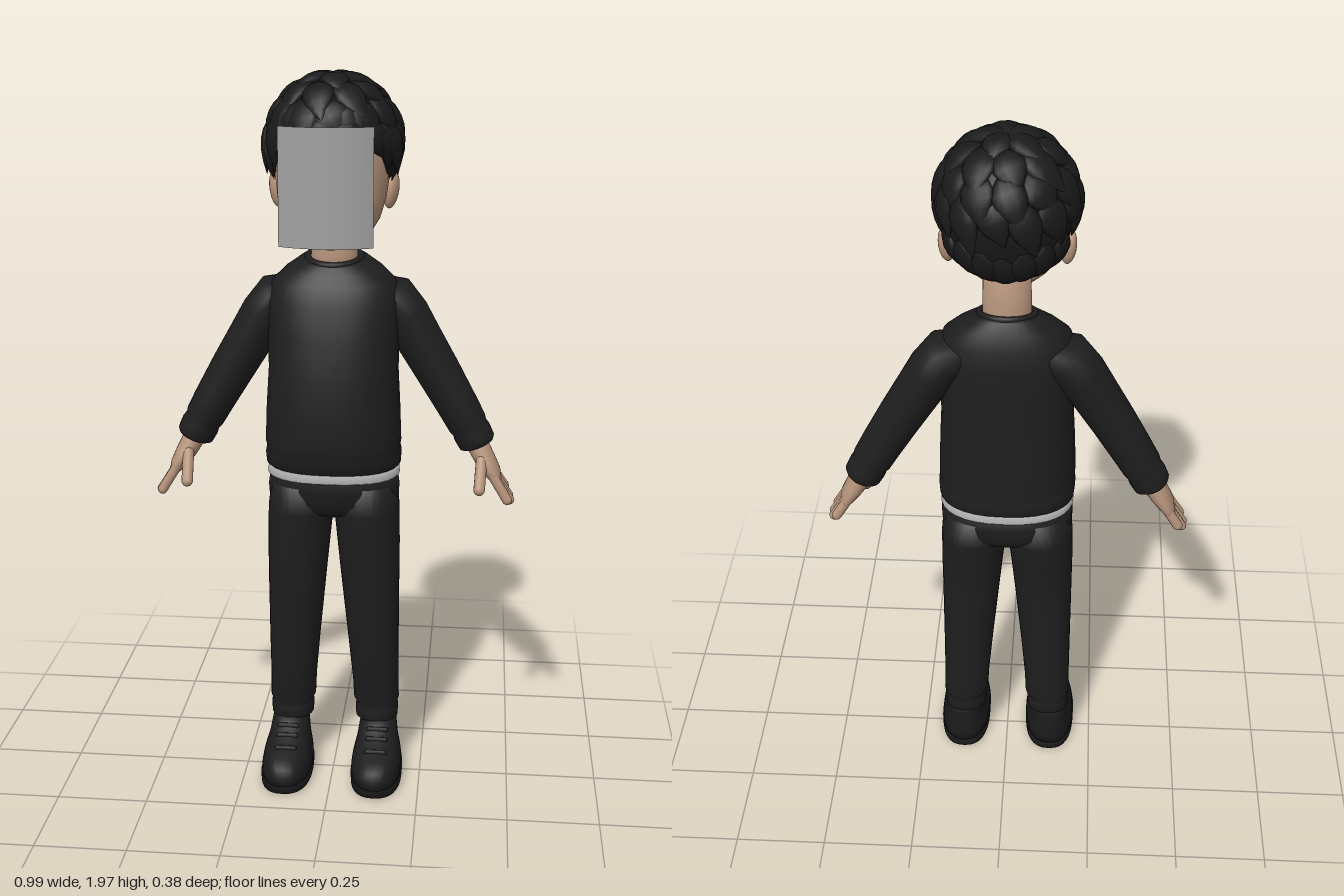
import * as THREE from 'three';

const mat = (name, color, side = THREE.FrontSide) => {
  const m = new THREE.MeshStandardMaterial({ color, side });
  m.name = name;
  return m;
};
const V = (x, y, z) => new THREE.Vector3(x, y, z);

// Closed smooth skin through a list of equally sized rings of points
function loft(rings) {
  const n = rings[0].length, pos = [];
  let idx = [];
  rings.forEach(r => r.forEach(p => pos.push(p.x, p.y, p.z)));
  for (let i = 0; i < rings.length - 1; i++) {
    for (let j = 0; j < n; j++) {
      const a = i * n + j, b = i * n + (j + 1) % n;
      idx.push(a, b, a + n, b, b + n, a + n);
    }
  }
  [0, rings.length - 1].forEach((i, end) => {
    const c = rings[i].reduce((s, p) => s.add(p), V(0, 0, 0)).divideScalar(n);
    const k = pos.length / 3;
    pos.push(c.x, c.y, c.z);
    for (let j = 0; j < n; j++) {
      const a = i * n + j, b = i * n + (j + 1) % n;
      if (end) idx.push(a, b, k); else idx.push(b, a, k);
    }
  });
  // turn the faces outward if the enclosed volume comes out negative
  const P = i => V(pos[3 * i], pos[3 * i + 1], pos[3 * i + 2]);
  let vol = 0;
  for (let t = 0; t < idx.length; t += 3) vol += P(idx[t]).dot(P(idx[t + 1]).cross(P(idx[t + 2])));
  if (vol < 0) idx = idx.reverse();
  const g = new THREE.BufferGeometry();
  g.setAttribute('position', new THREE.Float32BufferAttribute(pos, 3));
  g.setIndex(idx);
  g.computeVertexNormals();
  return g;
}

// Level rounded ring between x0..x1 and zb..zf
function ring(y, x0, x1, zf, zb, e = 2, tilt = 0, n = 32) {
  const f = v => Math.sign(v) * Math.abs(v) ** (2 / e);
  return Array.from({ length: n }, (_, j) => {
    const a = j / n * Math.PI * 2;
    const z = (zf + zb) / 2 + f(Math.sin(a)) * (zf - zb) / 2;
    return V((x0 + x1) / 2 + f(Math.cos(a)) * (x1 - x0) / 2, y + tilt * z, z);
  });
}
// rows: [y, half width, front z, back z, tilt]
const column = (rows, e) => loft(rows.map(([y, w, f, b, t = 0]) => ring(y, -w, w, f, b, e, t)));
// rows: [y, inner x, outer x, front z, back z]
const sideColumn = (rows, s, e) => loft(rows.map(([y, i, o, f, b]) => ring(y, s * i, s * o, f, b, e)));

// Limb whose path lies near the xy plane; rows: [x, y, z, in-plane radius, z radius]
function limb(rows, s, n = 20) {
  return loft(rows.map(([x, y, z, r, rz], i) => {
    const a = rows[Math.max(i - 1, 0)], b = rows[Math.min(i + 1, rows.length - 1)];
    const d = V(b[0] - a[0], b[1] - a[1], 0).normalize();
    return Array.from({ length: n }, (_, j) => {
      const t = j / n * Math.PI * 2, c = Math.cos(t) * r;
      return V(s * (x - d.y * c), y + d.x * c, z + Math.sin(t) * rz);
    });
  }));
}

// Hair volume: polar angle p from the top, azimuth a from the front
const hairPoint = (p, a, k = 1) => V(
  Math.sin(p) * Math.sin(a) * 0.167 * k,
  1.79 + Math.cos(p) * (p < Math.PI / 2 ? 0.17 : 0.2) * k,
  -0.005 + Math.sin(p) * Math.cos(a) * 0.168 * k);
const rad = THREE.MathUtils.degToRad;
const hairline = [[0, 83], [48, 86], [66, 112], [78, 115], [95, 104], [120, 138], [180, 150]];
function hairEdge(a) {
  let d = Math.abs(THREE.MathUtils.radToDeg(Math.atan2(Math.sin(a), Math.cos(a))));
  const i = Math.max(1, hairline.findIndex(h => h[0] >= d - 1e-6));
  const [a0, p0] = hairline[i - 1], [a1, p1] = hairline[i];
  return rad(p0 + (p1 - p0) * (d - a0) / (a1 - a0));
}
function lock(a, p0, p1, w, sweep, lift) {
  const prof = [0.3, 0.75, 1, 1, 0.8, 0.45, 0.04];
  const at = t => hairPoint(p0 + (p1 - p0) * t, a + sweep * t, 1 + lift * t * t);
  return loft(prof.map((f, i) => {
    const t = i / 6, c = at(t), out = c.clone().sub(V(0, 1.79, 0)).normalize();
    const along = at(t + 0.05).sub(at(t - 0.05)).normalize();
    const side = along.cross(out).normalize();
    return Array.from({ length: 10 }, (_, j) => {
      const q = j / 10 * Math.PI * 2;
      return c.clone().addScaledVector(side, Math.cos(q) * w * f).addScaledVector(out, Math.sin(q) * 0.016 * f);
    });
  }));
}

export function createModel() {
  const root = new THREE.Group();
  const cloth = mat('black cloth', 0x1e1e1f), hairMat = mat('black hair', 0x1a1a1b);
  const shoeMat = mat('shoe black', 0x1c1c1d), soleMat = mat('sole black', 0x151515);
  const skin = mat('skin', 0xb5937a), white = mat('undershirt grey', 0xb4b4b4);
  const plate = mat('plate grey', 0xa0a0a0, THREE.DoubleSide);
  const add = (name, geo, m, parent = root) => {
    const mesh = new THREE.Mesh(geo, m);
    mesh.name = name;
    parent.add(mesh);
    return mesh;
  };

  // Head, neck, ears and nose
  add('head', column([
    [1.533, 0.035, 0.105, 0.03], [1.545, 0.07, 0.13, 0], [1.57, 0.1, 0.148, -0.02], [1.61, 0.125, 0.16, -0.055],
    [1.66, 0.14, 0.167, -0.09], [1.72, 0.148, 0.168, -0.12], [1.79, 0.15, 0.163, -0.135],
    [1.86, 0.135, 0.135, -0.125], [1.92, 0.09, 0.08, -0.09], [1.94, 0.04, 0.03, -0.04]]), skin);
  add('neck', column([[1.43, 0.07, 0.03, -0.09], [1.5, 0.062, 0.02, -0.083], [1.62, 0.06, 0.025, -0.078]]), skin);
  add('nose', new THREE.SphereGeometry(0.015, 16, 12), skin).position.set(0, 1.67, 0.166);
  for (const s of [1, -1]) {
    const ear = add('ear', new THREE.SphereGeometry(1, 20, 14), skin);
    ear.scale.set(0.018, 0.048, 0.028);
    ear.position.set(s * 0.15, 1.672, -0.012);
    ear.rotation.set(-0.15, -s * 0.3, -s * 0.15);
  }

  // Hair cap with overlapping locks swirling out from the crown
  const hair = new THREE.Group();
  hair.name = 'hair';
  root.add(hair);
  add('hairCap', loft(Array.from({ length: 15 }, (_, i) => Array.from({ length: 48 }, (_, j) => {
    const a = j / 48 * Math.PI * 2;
    return hairPoint(Math.max(0.01, i / 14) * hairEdge(a), a);
  }))), hairMat, hair);
  const rows = [[5, 0, 40, 0.038, 0.07], [9, 22, 62, 0.042, 0.07], [12, 45, 84, 0.042, 0.07], [14, 65, 105, 0.04, 0.06]];
  rows.forEach(([n, p0, p1, w, lift], r) => {
    for (let i = 0; i < n; i++) {
      const a = (i + r * 0.45) / n * Math.PI * 2, v = Math.sin(i * 2.4 + r * 1.7);
      const end = Math.min(rad(p1 + v * 5), hairEdge(a + 0.3) + 0.08);
      add('lock', lock(a, rad(p0), end, w, 0.3, lift + v * 0.035), hairMat, hair);
    }
  });
  // locks along the lower hairline
  for (let i = 0; i < 18; i++) {
    const a = i / 18 * Math.PI * 2, e = hairEdge(a);
    add('edgeLock', lock(a - 0.06, e - 0.65, e + 0.04, 0.036, 0.1, 0.02), hairMat, hair);
  }

  // Curved plate in front of the face
  add('facePlate', new THREE.CylinderGeometry(0.255, 0.255, 0.3, 24, 1, true, -0.49, 0.98), plate)
    .position.set(-0.004, 1.7, -0.065);

  // Sweater body, collar and the undershirt edge below it
  add('sweater', column([
    [0.925, 0.172, 0.108, -0.145], [0.935, 0.183, 0.122, -0.157], [0.965, 0.185, 0.13, -0.157],
    [0.985, 0.181, 0.132, -0.152], [1.0, 0.184, 0.14, -0.156], [1.1, 0.18, 0.14, -0.152], [1.2, 0.174, 0.13, -0.15],
    [1.3, 0.175, 0.112, -0.15], [1.38, 0.178, 0.092, -0.148], [1.43, 0.165, 0.073, -0.138, -0.03],
    [1.46, 0.13, 0.055, -0.122, -0.1], [1.482, 0.09, 0.042, -0.105, -0.2], [1.488, 0.072, 0.034, -0.096, -0.22]], 2.4), cloth);
  const collar = add('collar', new THREE.TorusGeometry(0.07, 0.009, 10, 40), cloth);
  collar.scale.set(1, 0.92, 1);
  collar.rotation.x = Math.PI / 2 + 0.22;
  collar.position.set(0, 1.493, -0.031);
  add('undershirtHem', column([[0.9, 0.176, 0.106, -0.146], [0.905, 0.181, 0.112, -0.151], [0.935, 0.178, 0.11, -0.148]], 2.4), white);

  // Trousers
  add('hips', column([[0.78, 0.09, 0.03, -0.08], [0.8, 0.15, 0.07, -0.12], [0.83, 0.178, 0.088, -0.138],
    [0.87, 0.18, 0.098, -0.142], [0.91, 0.174, 0.103, -0.142]], 2.4), cloth);

  for (const s of [1, -1]) {
    add('trouserLeg', sideColumn([
      [0.145, 0.072, 0.174, 0, -0.1], [0.155, 0.062, 0.182, 0.01, -0.11], [0.185, 0.061, 0.183, 0.011, -0.111],
      [0.195, 0.066, 0.179, 0.006, -0.107], [0.21, 0.056, 0.185, 0.016, -0.116], [0.27, 0.053, 0.183, 0.024, -0.113],
      [0.4, 0.041, 0.183, 0.045, -0.108], [0.6, 0.021, 0.183, 0.068, -0.108], [0.7, 0.011, 0.183, 0.079, -0.12],
      [0.8, 0.001, 0.181, 0.086, -0.134], [0.88, 0, 0.172, 0.09, -0.135]], s, 2.3), cloth);

    // Shoe with sole, tongue and laces
    const shoe = new THREE.Group();
    shoe.name = 'shoe';
    root.add(shoe);
    add('sole', sideColumn([[0, 0.062, 0.194, 0.174, -0.104], [0.004, 0.056, 0.2, 0.181, -0.11],
      [0.026, 0.055, 0.201, 0.183, -0.111]], s, 2.5), soleMat, shoe);
    add('shoeUpper', sideColumn([
      [0.02, 0.058, 0.198, 0.18, -0.108], [0.05, 0.057, 0.198, 0.18, -0.109], [0.07, 0.06, 0.195, 0.168, -0.109],
      [0.088, 0.065, 0.19, 0.135, -0.108], [0.102, 0.069, 0.185, 0.09, -0.107], [0.12, 0.072, 0.182, 0.05, -0.106],
      [0.14, 0.075, 0.179, 0.022, -0.105], [0.16, 0.08, 0.172, 0.005, -0.098]], s, 2.4), shoeMat, shoe);
    [[0.1, 0.092], [0.118, 0.05], [0.136, 0.024]].forEach(([y, z]) => {
      const lace = add('lace', new THREE.CapsuleGeometry(0.007, 0.05, 4, 10), shoeMat, shoe);
      lace.rotation.z = Math.PI / 2;
      lace.position.set(s * 0.128, y, z);
    });

    // Sleeve with cuff
    add('sleeve', limb([
      [0.1, 1.4, -0.055, 0.045, 0.07], [0.155, 1.377, -0.055, 0.066, 0.082], [0.19, 1.33, -0.053, 0.066, 0.077],
      [0.225, 1.272, -0.05, 0.063, 0.069], [0.28, 1.18, -0.048, 0.06, 0.061], [0.335, 1.085, -0.048, 0.056, 0.058],
      [0.36, 1.04, -0.048, 0.054, 0.057], [0.367, 1.027, -0.048, 0.05, 0.052], [0.374, 1.014, -0.048, 0.053, 0.055],
      [0.388, 0.987, -0.048, 0.051, 0.053], [0.391, 0.98, -0.048, 0.044, 0.046]], s), cloth);

    // Hand: palm, four fingers and thumb
    const hand = new THREE.Group();
    hand.name = 'hand';
    root.add(hand);
    add('palm', limb([[0.375, 1.01, -0.045, 0.03, 0.03], [0.393, 0.975, -0.042, 0.03, 0.034],
      [0.413, 0.94, -0.035, 0.028, 0.046], [0.435, 0.905, -0.033, 0.022, 0.05], [0.448, 0.883, -0.033, 0.012, 0.042]], s), skin, hand);
    const digit = (name, a, b, r) => {
      const d = b.clone().sub(a);
      const m = add(name, new THREE.CapsuleGeometry(r, d.length(), 6, 12), skin, hand);
      m.position.copy(a).add(b).multiplyScalar(0.5);
      m.quaternion.setFromUnitVectors(V(0, 1, 0), d.normalize());
    };
    [[0.009, 0.474, 0.84], [-0.018, 0.481, 0.832], [-0.045, 0.478, 0.836], [-0.07, 0.466, 0.856]].forEach(([z, x, y]) =>
      digit('finger', V(s * 0.434, 0.905, z * 0.85 - 0.005), V(s * x, y, z), 0.0135));
    digit('thumb', V(s * 0.402, 0.945, -0.005), V(s * 0.398, 0.878, 0.045), 0.0155);
  }
  return root;
}
